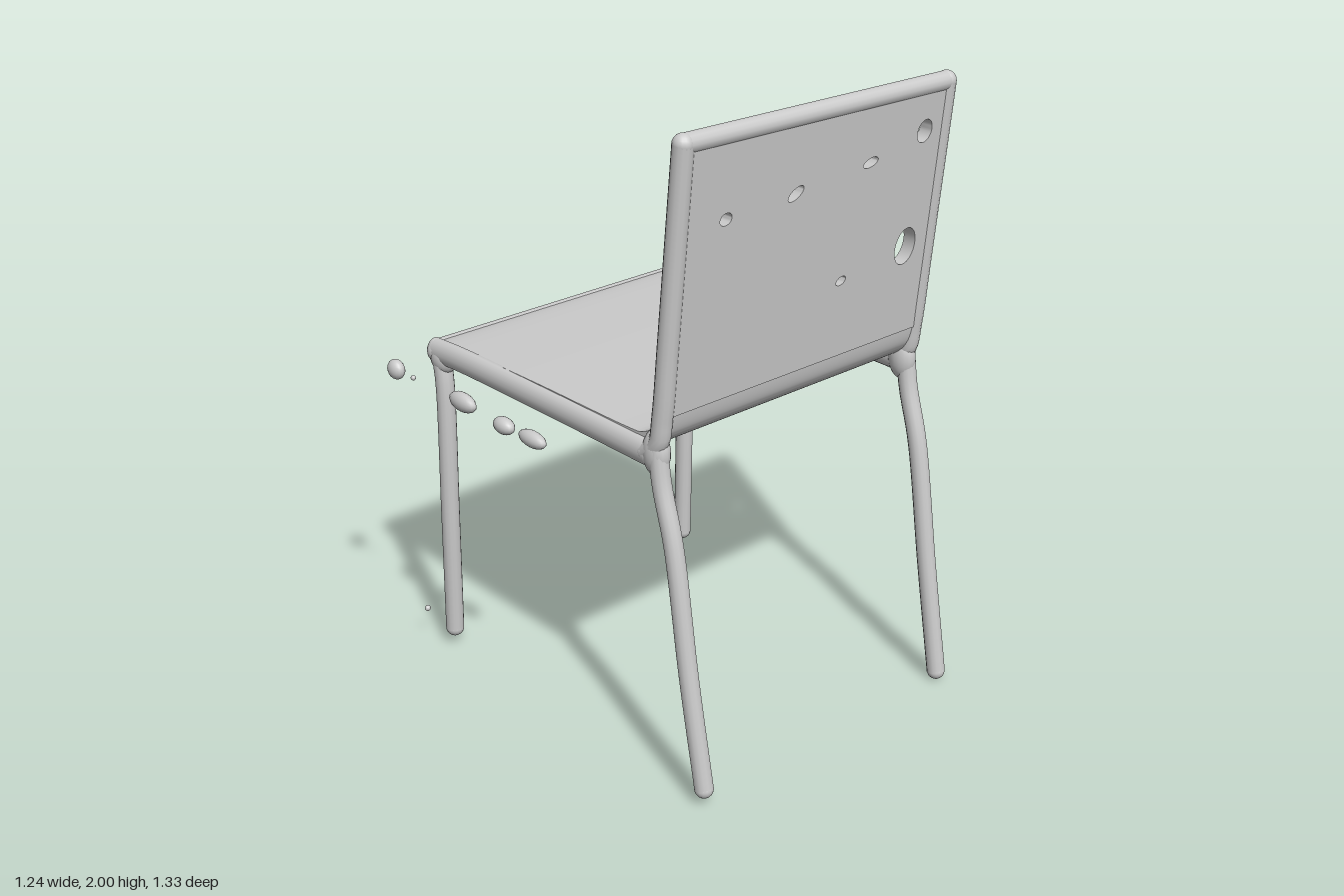
import * as THREE from 'three';
import { toCreasedNormals } from 'three/addons/utils/BufferGeometryUtils.js';

const material = new THREE.MeshStandardMaterial({ color: 0xcccccc });
const LEFT = 0.577, RIGHT = -0.441;               // x of the two side frames
const backZ = (y) => 0.457 + (y - 1.1) * 0.1;     // lean of the backrest

export function createModel() {
  const group = new THREE.Group();

  const add = (name, geometry, parent = group) => {
    const mesh = new THREE.Mesh(geometry, material);
    mesh.name = name;
    parent.add(mesh);
    return mesh;
  };

  const ball = (name, [x, y, z], [rx, ry, rz], parent) =>
    add(name, new THREE.SphereGeometry(1, 16, 12).scale(rx, ry, rz).translate(x, y, z), parent);

  // Round-ended rod through points; stretch makes its section taller
  const rod = (name, points, r, stretch = 1) => {
    const part = new THREE.Group();
    part.name = name;
    group.add(part);
    const curve = new THREE.CatmullRomCurve3(
      points.map(([x, y, z]) => new THREE.Vector3(x, y / stretch, z)));
    add(name + 'Tube', new THREE.TubeGeometry(curve, 32, r, 14).scale(1, stretch, 1), part);
    for (const p of [points[0], points[points.length - 1]])
      ball(name + 'End', p, [r, r * stretch, r], part);
  };

  // Seat sheet, sweeping up into the backrest at the rear
  const path = new THREE.SplineCurve([
    [-0.585, 1.055], [-0.5, 1.07], [-0.1, 1.077], [0.3, 1.077],
    [0.395, 1.088], [0.447, 1.13], [0.465, 1.2],
  ].map(([z, y]) => new THREE.Vector2(z, y)));
  const upper = [], lower = [];
  for (let i = 0; i <= 60; i++) {
    const p = path.getPoint(i / 60), t = path.getTangent(i / 60);
    upper.push(new THREE.Vector2(p.x - t.y * 0.022, p.y + t.x * 0.022));
    lower.push(new THREE.Vector2(p.x + t.y * 0.022, p.y - t.x * 0.022));
  }
  const seat = new THREE.ExtrudeGeometry(new THREE.Shape([...lower, ...upper.reverse()]),
    { depth: LEFT - RIGHT, bevelEnabled: false });
  seat.rotateY(-Math.PI / 2).translate(LEFT, 0, 0);
  add('seatSheet', toCreasedNormals(seat, 0.6));

  // Backrest panel with worn holes: x, y, radii, tilt
  const panel = new THREE.Shape([
    [RIGHT, 1.18], [LEFT, 1.18], [LEFT, 1.955], [RIGHT, 1.968],
  ].map(([x, y]) => new THREE.Vector2(x, y)));
  for (const [x, y, rx, ry, tilt] of [
    [-0.285, 1.728, 0.022, 0.018, 0.2], [-0.025, 1.742, 0.032, 0.016, 0.5],
    [0.268, 1.77, 0.03, 0.014, 0.2], [0.485, 1.82, 0.03, 0.035, -0.3],
    [0.465, 1.468, 0.043, 0.058, -0.1], [0.2, 1.425, 0.02, 0.013, 0.3],
  ]) panel.holes.push(new THREE.Path().absellipse(x, y, rx, ry, 0, Math.PI * 2, true, tilt));
  const back = new THREE.ExtrudeGeometry(panel, { depth: 0.044, bevelEnabled: false, curveSegments: 12 });
  const pos = back.attributes.position;
  for (let i = 0; i < pos.count; i++)
    pos.setZ(i, pos.getZ(i) - 0.022 + backZ(pos.getY(i)));
  back.computeVertexNormals();
  add('backrestPanel', toCreasedNormals(back, 0.6));

  // Top edge of the backrest and front rail of the seat
  rod('backrestTopEdge', [[RIGHT, 1.965, backZ(1.965)], [LEFT, 1.95, backZ(1.95)]], 0.029);
  rod('frontRail', [[RIGHT, 1.048, -0.588], [LEFT, 1.048, -0.588]], 0.031, 1.2);

  // Side frames and legs
  for (const [side, x, top, foot] of [['left', LEFT, 1.95, 0.03], ['right', RIGHT, 1.965, 0.055]]) {
    const out = Math.sign(x);
    rod(side + 'BackrestEdge', [
      [x, 1.055, 0.4], [x, 1.09, 0.446], [x, 1.18, 0.464],
      [x, 1.4, backZ(1.4)], [x, top, backZ(top)]], 0.03);
    rod(side + 'SeatRail', [
      [x, 1.05, -0.588], [x, 1.056, -0.45], [x, 1.056, 0], [x, 1.052, 0.41]], 0.029, 1.42);
    rod(side + 'FrontLeg', [
      [x, 1.04, -0.565], [x, 0.95, -0.553], [x, 0.5, -0.558], [x + 0.007, 0.06, -0.574]], 0.03);
    rod(side + 'RearLeg', [
      [x, 1.08, 0.445], [x, 0.97, 0.462], [x, 0.8, 0.51],
      [x, 0.4, 0.576], [x + 0.006, foot - 0.001, 0.636]], 0.029);
    // Swollen joints where the legs meet the frame
    ball(side + 'RearJoint', [x - out * 0.004, 1.06, 0.435], [0.036, 0.07, 0.046]);
    ball(side + 'FrontJoint', [x - out * 0.004, 1.03, -0.56], [0.036, 0.05, 0.05]);
  }

  // Loose fragments floating beside the seat: centre, then radii
  for (const [centre, radii] of [
    [[-0.597, 1.03, -0.585], [0.024, 0.032, 0.034]],
    [[-0.597, 1.03, -0.495], [0.008, 0.008, 0.008]],
    [[-0.592, 1.03, -0.25], [0.024, 0.03, 0.06]],
    [[-0.59, 1.02, -0.055], [0.025, 0.026, 0.042]],
    [[-0.592, 1.025, 0.08], [0.023, 0.025, 0.058]],
    [[-0.48, 0.11, -0.66], [0.01, 0.01, 0.009]],
  ]) ball('looseFragment', centre, radii);

  return group;
}
